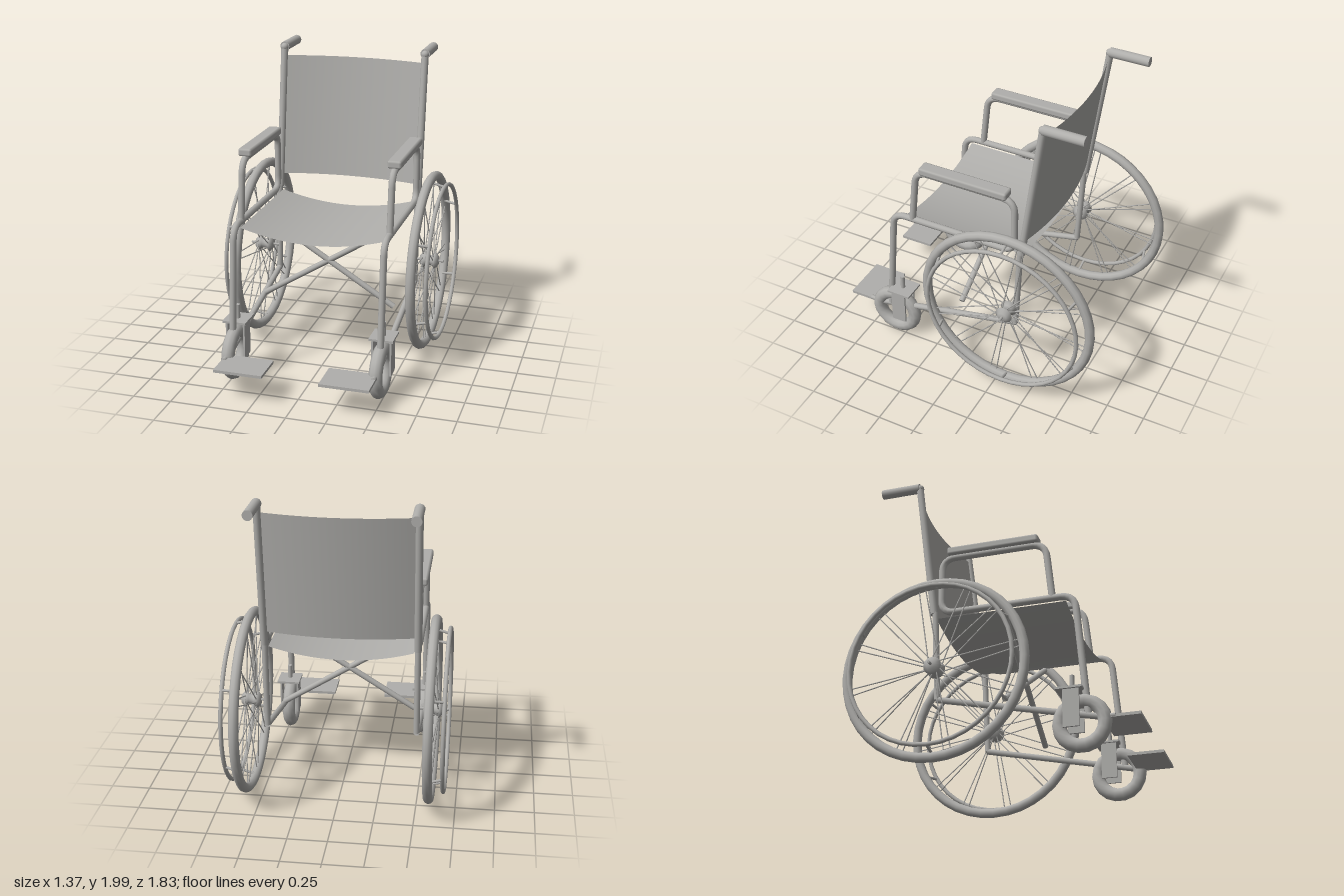
import * as THREE from 'three';
import { RoundedBoxGeometry } from 'three/addons/geometries/RoundedBoxGeometry.js';

export function createModel() {
  const model = new THREE.Group();
  model.name = 'wheelchair';
  const grey = new THREE.MeshStandardMaterial({ color: 0xb0afac, side: THREE.DoubleSide });
  grey.name = 'grey';
  const V = (x, y, z) => new THREE.Vector3(x, y, z);

  const add = (parent, name, geometry, x = 0, y = 0, z = 0) => {
    const mesh = new THREE.Mesh(geometry, grey);
    mesh.name = name;
    mesh.position.set(x, y, z);
    parent.add(mesh);
    return mesh;
  };

  // straight round bar between two points
  const bar = (parent, name, a, b, r, sides = 10) => {
    const d = b.clone().sub(a);
    const mesh = add(parent, name, new THREE.CylinderGeometry(r, r, d.length(), sides));
    mesh.position.copy(a).add(b).multiplyScalar(0.5);
    mesh.quaternion.setFromUnitVectors(V(0, 1, 0), d.normalize());
    return mesh;
  };

  // bent tube through points, corners rounded by the given radius
  const bentTube = (parent, name, pts, r, bend) => {
    const path = new THREE.CurvePath();
    let last = pts[0];
    for (let i = 1; i < pts.length - 1; i++) {
      const toward = (p) => pts[i].clone().add(p.clone().sub(pts[i]).setLength(bend));
      const a = toward(pts[i - 1]), b = toward(pts[i + 1]);
      path.add(new THREE.LineCurve3(last, a));
      path.add(new THREE.QuadraticBezierCurve3(a, pts[i], b));
      last = b;
    }
    path.add(new THREE.LineCurve3(last, pts[pts.length - 1]));
    add(parent, name, new THREE.TubeGeometry(path, 110, r, 10));
  };

  // thin fabric sheet from a rule (u across, v along)
  const sheet = (name, rule) => {
    const g = new THREE.PlaneGeometry(1, 1, 20, 1);
    const p = g.attributes.position;
    for (let i = 0; i < p.count; i++) p.setXYZ(i, ...rule(p.getX(i) * 2, p.getY(i) + 0.5));
    g.computeVertexNormals();
    add(model, name, g);
  };
  sheet('seat', (u, v) => [u * 0.46, 1.0 - 0.07 * (1 - u * u), 0.48 - 0.84 * v]);
  sheet('backrest', (u, v) => [u * 0.46, 1.11 + 0.8 * v, -0.385 - 0.103 * v - 0.06 * (1 - u * u)]);

  // folding cross brace
  for (const s of [-1, 1]) {
    bar(model, 'crossBrace', V(s * 0.44, 0.965, 0.085), V(-s * 0.44, 0.415, 0.085), 0.019);
  }

  for (const s of [-1, 1]) {
    const side = new THREE.Group();
    side.name = s > 0 ? 'leftSide' : 'rightSide';
    model.add(side);
    const X = s * 0.483;

    // front leg, seat rail and armrest in one bent tube
    bentTube(side, 'sideFrame', [
      V(X, 0.24, 0.605), V(X, 1.02, 0.54), V(X, 1.02, -0.32),
      V(X, 1.405, -0.32), V(X, 1.405, 0.36), V(X, 1.02, 0.4),
    ], 0.022, 0.09);
    add(side, 'armrestPad', new RoundedBoxGeometry(0.09, 0.052, 0.6, 1, 0.015), X, 1.44, 0.02);

    // back post, lower rail and push handle
    bar(side, 'backPost', V(X, 1.97, -0.495), V(X, 1.02, -0.368), 0.024);
    bar(side, 'rearLeg', V(X, 1.03, -0.36), V(X, 0.44, -0.33), 0.02);
    bar(side, 'lowerRail', V(X, 0.44, -0.335), V(X, 0.21, 0.7), 0.02);
    bar(side, 'pushHandle', V(X, 1.968, -0.495), V(X, 1.968, -0.757), 0.032, 16);
    add(side, 'postCap', new THREE.SphereGeometry(0.026, 12, 8), X, 1.965, -0.493);

    // footrest
    add(side, 'footPlate', new THREE.BoxGeometry(0.315, 0.018, 0.23), s * 0.338, 0.21, 0.8);
    bar(side, 'footrestPin', V(X, 0.213, 0.68), V(X, 0.213, 0.765), 0.016);

    // caster
    const caster = new THREE.Group();
    caster.name = 'caster';
    caster.position.set(s * 0.48, 0.188, 0.565);
    side.add(caster);
    add(caster, 'casterTyre', new THREE.TorusGeometry(0.137, 0.043, 10, 18)).rotation.y = Math.PI / 2;
    add(caster, 'forkTop', new THREE.BoxGeometry(0.155, 0.014, 0.162), 0, 0.205, -0.06);
    for (const k of [-1, 1]) {
      add(caster, 'forkArm', new THREE.BoxGeometry(0.012, 0.24, 0.1), k * 0.058, 0.084, -0.05);
    }
    bar(caster, 'forkStem', V(0, 0.2, -0.055), V(0, 0.305, -0.055), 0.015);

    // main wheel
    const wheel = new THREE.Group();
    wheel.name = 'mainWheel';
    wheel.position.set(s * 0.583, 0.608, -0.317);
    side.add(wheel);
    add(wheel, 'tyre', new THREE.TorusGeometry(0.57, 0.031, 10, 40)).rotation.y = Math.PI / 2;
    add(wheel, 'handRim', new THREE.TorusGeometry(0.519, 0.014, 8, 40), s * 0.09).rotation.y = Math.PI / 2;
    const hub = [[0, -0.06], [0.03, -0.06], [0.057, -0.035], [0.034, -0.015], [0.034, 0.02],
      [0.057, 0.04], [0.03, 0.065], [0, 0.065]].map(([r, h]) => new THREE.Vector2(r, h));
    add(wheel, 'hub', new THREE.LatheGeometry(hub, 16)).rotation.z = -s * Math.PI / 2;
    bar(wheel, 'axle', V(-s * 0.1, 0, 0), V(s * 0.1, 0, 0), 0.009, 8);

    // pins joining the hand rim to the tyre
    for (let i = 0; i < 6; i++) {
      const a = Math.PI / 6 + (i * Math.PI) / 3;
      const y = Math.sin(a), z = Math.cos(a);
      bar(wheel, 'rimPin', V(0, y * 0.545, z * 0.545), V(s * 0.09, y * 0.52, z * 0.52), 0.009, 8);
    }

    // spokes in near-parallel pairs, one to each hub flange
    for (let q = 0; q < 4; q++) {
      for (const deg of [22, 48, 80]) {
        const a = THREE.MathUtils.degToRad(deg + q * 90);
        const c = Math.cos(a), n = Math.sin(a);
        for (const k of [-1, 1]) {
          const at = (x, r, off) => V(x, n * r + c * off, -c * r + n * off);
          bar(wheel, 'spoke', at(k * 0.037, 0.03, k * 0.02), at(0, 0.548, k * 0.022), 0.004, 5);
        }
      }
    }
  }
  return model;
}
